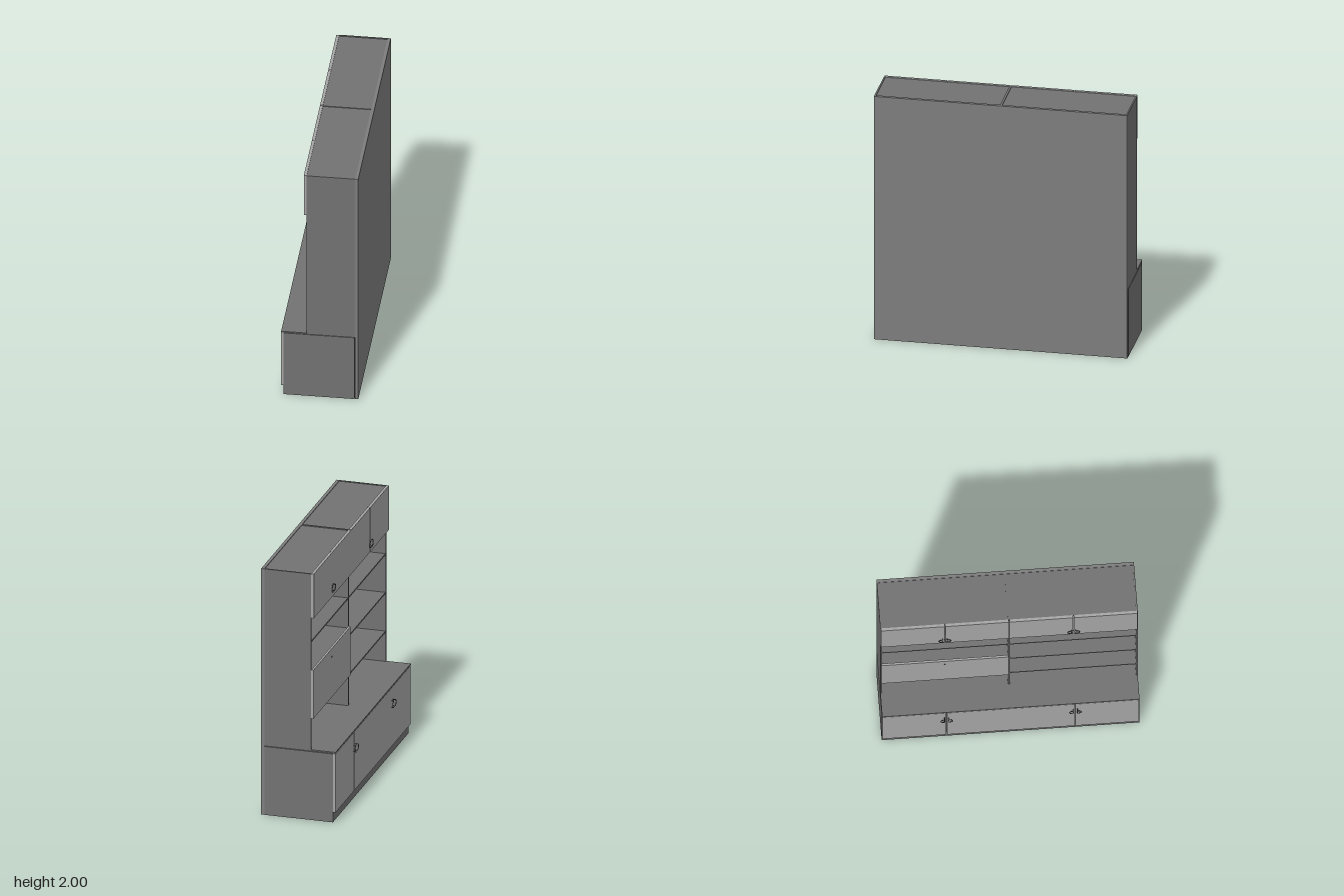
import * as THREE from 'three';

const paint = (color) => new THREE.MeshStandardMaterial({ color });
const carcass = paint(0x727272);
const backing = paint(0x7d7d7d);
const fronts = paint(0xa6a6a6);
const metal = paint(0x555555);

export function createModel() {
  const model = new THREE.Group();
  model.name = 'wallCabinet';

  // Box given by its min and max on each axis
  const panel = (name, x0, x1, y0, y1, z0, z1, mat = carcass) => {
    const m = new THREE.Mesh(new THREE.BoxGeometry(x1 - x0, y1 - y0, z1 - z0), mat);
    m.position.set((x0 + x1) / 2, (y0 + y1) / 2, (z0 + z1) / 2);
    m.name = name;
    model.add(m);
  };

  const W = 0.98, T = 0.012;          // half width, board thickness
  const BACK = 0.28, FRONT = -0.09;   // upper carcass depth
  const BASE = -0.265;                // base carcass front

  panel('backPanel', BACK, 0.305, 0, 2, -W, W, backing);

  // Base cabinet
  panel('baseSide', BASE, BACK - 0.003, 0, 0.556, -W - 0.003, -W + T);
  panel('baseSide', BASE, BACK - 0.003, 0, 0.556, W - T, W);
  for (const z of [-0.49, 0.49])
    panel('basePartition', BASE, BACK, 0.08, 0.556, z - T / 2, z + T / 2);
  panel('baseBottom', BASE, BACK, 0, T, -W + T, W - T);
  panel('baseFloor', BASE, BACK, 0.08, 0.08 + T, -W + T, W - T);
  panel('plinth', BASE, BASE + T, T, 0.08, -W + T, W - T);
  panel('countertop', -0.285, BACK, 0.56, 0.57, -W, W);
  const seams = [-W, -0.49, 0.49, W];
  for (let i = 0; i < 3; i++)
    panel('baseDoor', -0.285, BASE, 0.08, 0.556, seams[i] + 0.003, seams[i + 1] - 0.003, fronts);

  // Upper uprights
  panel('upperSide', FRONT, BACK, 0.57, 2, -W, -W + T);
  panel('upperSide', FRONT, BACK, 0.57, 2, W - T, W);
  panel('upperDivider', FRONT, BACK, 0.57, 2, -0.008, 0.008);

  // Shelves and doors for each bay
  const bays = [
    { z0: -W + T, z1: -0.008, shelves: [1.64, 1.435, 1.19, 0.82] },
    { z0: 0.008, z1: W - T, shelves: [1.64, 1.435, 1.12, 0.805] },
  ];
  for (const { z0, z1, shelves } of bays) {
    panel('topBoard', FRONT, BACK, 1.983, 1.995, z0, z1);
    for (const y of shelves) panel('shelf', FRONT + 0.003, BACK, y, y + T, z0, z1);
  }
  for (let i = 0; i < 4; i++) {
    const z = -W + i * 0.49;
    panel('upperDoor', -0.112, FRONT, 1.64, 2, z + 0.003, z + 0.487, fronts);
  }

  // Drop-down flap with its lock
  panel('flap', -0.107, FRONT, 0.82, 1.215, -W + 0.008, -0.004, fronts);
  const lock = new THREE.Mesh(new THREE.CylinderGeometry(0.007, 0.007, 0.004, 16), metal);
  lock.rotation.z = Math.PI / 2;
  lock.position.set(-0.107, 1.15, -0.49);
  lock.name = 'flapLock';
  model.add(lock);

  // Bowed wire pull: two legs beside the seam, the grip curving away from it
  const handle = (x, y, seam, side, reach) => {
    const h = 0.026, near = seam + side * 0.016, bow = seam + side * 0.055;
    const P = (px, py, pz) => new THREE.Vector3(px, py, pz);
    const out = x - reach;
    const path = new THREE.CurvePath();
    path.add(new THREE.LineCurve3(P(x, y + h, near), P(out, y + h, near)));
    path.add(new THREE.CubicBezierCurve3(
      P(out, y + h, near), P(out, y + h, bow), P(out, y - h, bow), P(out, y - h, near)));
    path.add(new THREE.LineCurve3(P(out, y - h, near), P(x, y - h, near)));
    const m = new THREE.Mesh(new THREE.TubeGeometry(path, 48, 0.003, 8), metal);
    m.name = 'handle';
    model.add(m);
  };
  for (const seam of [-0.49, 0.49])
    for (const side of [-1, 1]) {
      handle(-0.285, 0.428, seam, side, 0.019);
      handle(-0.112, 1.708, seam, side, 0.011);
    }

  return model;
}
